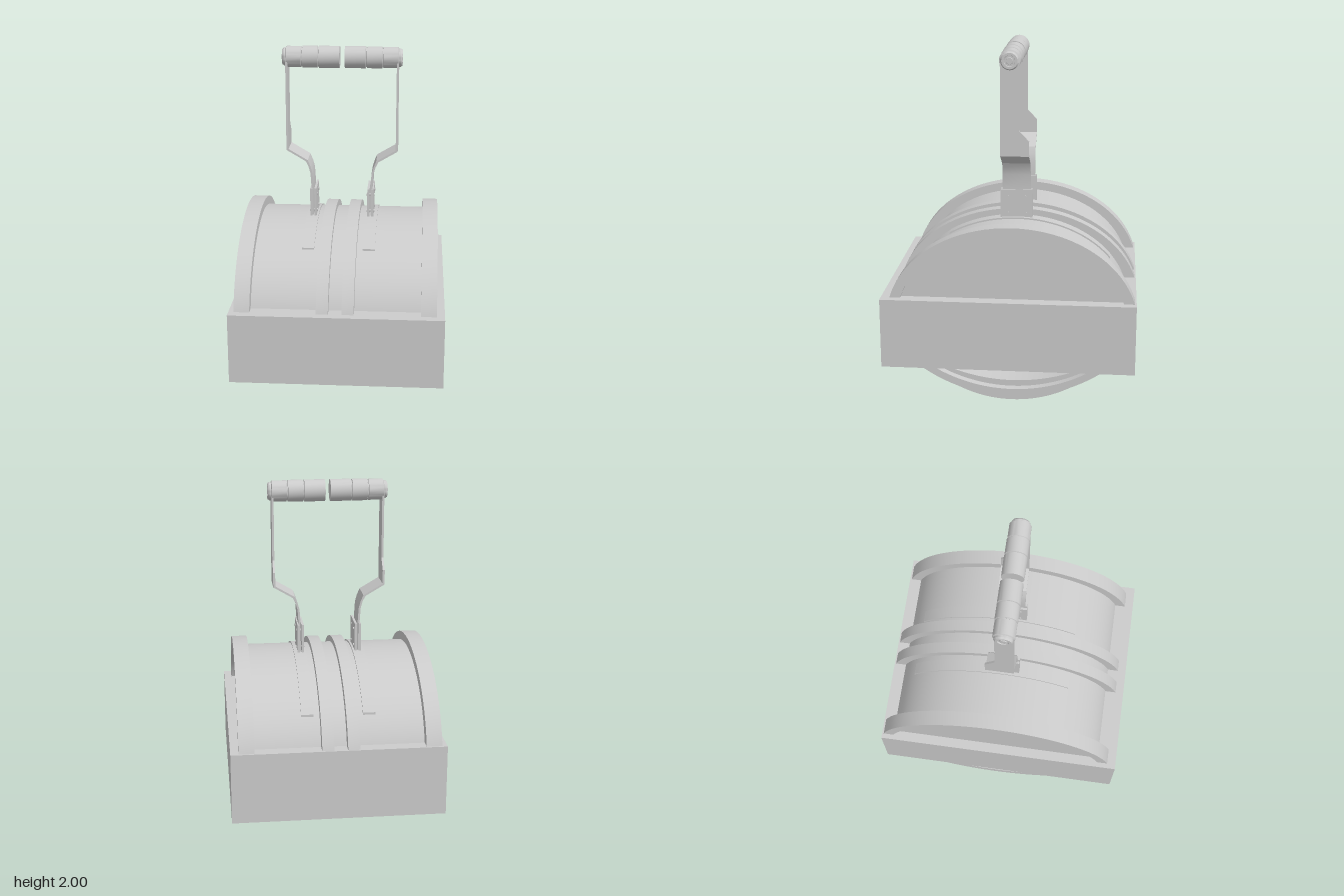
import * as THREE from 'three';
import { toCreasedNormals } from 'three/addons/utils/BufferGeometryUtils.js';

const grey = new THREE.MeshStandardMaterial({ color: 0xcccccc });
const MID_X = -0.008; // centre line of drum and handle
const MID_Z = -0.02; // drum axis

function add(parent, name, geometry, x = 0, y = 0, z = 0) {
  const mesh = new THREE.Mesh(geometry, grey);
  mesh.name = name;
  mesh.position.set(x, y, z);
  parent.add(mesh);
  return mesh;
}

// Points of an elliptic arc from u0 to u1; a negative b hangs below the centre
function arc({ a, b, c }, u0, u1, n = 40) {
  const t0 = Math.acos(u0 / a), t1 = Math.acos(u1 / a);
  return Array.from({ length: n + 1 }, (_, i) => {
    const t = t0 + (t1 - t0) * i / n;
    return new THREE.Vector2(a * Math.cos(t), c + b * Math.sin(t));
  });
}

// Half width of an ellipse at height y
const halfAt = ({ a, b, c }, y) => a * Math.sqrt(1 - ((y - c) / b) ** 2);

// Profile in the side plane, extruded along x (profile x runs towards -z)
function extrudeX(points, x0, x1) {
  const g = new THREE.ExtrudeGeometry(new THREE.Shape(points), { depth: x1 - x0, bevelEnabled: false });
  g.rotateY(Math.PI / 2).translate(x0, 0, 0);
  return toCreasedNormals(g, 0.5);
}

function solid(e, y) {
  const h = halfAt(e, y);
  return arc(e, h, -h);
}

function band(outer, inner, y) {
  return [...solid(outer, y), ...solid(inner, y).reverse()];
}

const circleUp = (bottom, r) => ({ a: r, b: -r, c: bottom + r });

export function createModel() {
  const model = new THREE.Group();

  // Rectangular body
  add(model, 'body', new THREE.BoxGeometry(1.2, 0.405, 1.44), 0, 0.4225, 0);

  // Upper drum with end flanges and centre ribs
  const drum = new THREE.Group();
  drum.name = 'upperDrum';
  drum.position.set(MID_X, 0, MID_Z);
  model.add(drum);
  const barrel = { a: 0.65, b: 0.5, c: 0.5 };
  const flange = { a: 0.709, b: 0.55, c: 0.5 };
  const rib = { a: 0.712, b: 0.535, c: 0.5 };
  add(drum, 'barrel', extrudeX(solid(barrel, 0.6), -0.535, 0.535));
  for (const s of [-1, 1]) {
    const span = (p, q) => (s > 0 ? [p, q] : [-q, -p]);
    add(drum, 'endFlange', extrudeX(band(flange, barrel, 0.6), ...span(0.475, 0.563)));
    add(drum, 'centreRib', extrudeX(band(rib, barrel, 0.6), ...span(0.038, 0.105)));
    // Flat strip lying on the barrel under each bracket
    const top = { a: 0.658, b: 0.509, c: 0.5 };
    const strip = [...arc(top, 0.545, -0.395), ...arc(barrel, 0.545, -0.395).reverse()];
    add(drum, 'mountingStrip', extrudeX(strip, ...span(0.138, 0.208)));
  }

  // Open lower trough
  const trough = new THREE.Group();
  trough.name = 'lowerTrough';
  trough.position.set(MID_X, 0, MID_Z);
  model.add(trough);
  add(trough, 'troughShell', extrudeX(band(circleUp(0.005, 0.7), circleUp(0.125, 1.0), 0.24), -0.52, 0.52));
  for (const s of [-1, 1]) {
    const x = s > 0 ? 0.475 : -0.565;
    add(trough, 'troughFlange', extrudeX(band(circleUp(0.045, 0.89), circleUp(0.09, 0.88), 0.24), x, x + 0.09));
  }

  // Handle, one side at a time
  for (const s of [1, -1]) {
    const side = new THREE.Group();
    side.name = s > 0 ? 'leftHandle' : 'rightHandle';
    side.position.x = MID_X;
    model.add(side);

    // Bracket: two plates around the strap, with rivets
    for (const x of [0.156, 0.18]) {
      add(side, 'bracketPlate', new THREE.BoxGeometry(0.013, 0.22, 0.185), s * x, 1.06, -0.0175);
    }
    for (const [y, z] of [[1.13, -0.07], [1.13, 0.035], [1.03, -0.07], [1.03, 0.035]]) {
      const rivet = add(side, 'rivet', new THREE.CylinderGeometry(0.008, 0.008, 0.046, 12), s * 0.168, y, z);
      rivet.rotation.z = Math.PI / 2;
    }

    // Bent lower strap
    const path = [[0.168, 0.98], [0.167, 1.17], [0.173, 1.26], [0.184, 1.3], [0.2, 1.338], [0.312, 1.404]];
    const inner = path.map(([x, y]) => new THREE.Vector2(s * x, y));
    const outer = path.map(([x, y], i) => new THREE.Vector2(s * (x + 0.012), y - (i > 3 ? 0.006 : 0)));
    const bent = new THREE.ExtrudeGeometry(new THREE.Shape([...inner, ...outer.reverse()]),
      { depth: 0.163, bevelEnabled: false });
    add(side, 'lowerStrap', toCreasedNormals(bent, 0.4), 0, 0, -0.1);

    // Upright strap, narrowed at the back above a shoulder
    const plate = [[-0.063, 1.398], [0.1, 1.398], [0.1, 1.485], [0.043, 1.545], [0.043, 1.94], [-0.063, 1.94]]
      .map(([u, y]) => new THREE.Vector2(u, y));
    add(side, 'upperStrap', extrudeX(plate, s > 0 ? 0.312 : -0.324, s > 0 ? 0.324 : -0.312));

    // Grip: turned profile with grooves and a stepped end cap
    const grip = [
      [0, 0.015], [0.062, 0.015], [0.063, 0.134], [0.056, 0.136], [0.056, 0.14], [0.062, 0.142],
      [0.062, 0.228], [0.056, 0.23], [0.056, 0.234], [0.06, 0.236], [0.06, 0.32], [0.052, 0.324],
      [0.052, 0.334], [0.045, 0.344], [0.032, 0.344], [0.03, 0.337], [0.02, 0.337], [0.018, 0.344], [0, 0.344],
    ].map(([r, h]) => new THREE.Vector2(r, h));
    const turned = toCreasedNormals(new THREE.LatheGeometry(grip, 36), 0.5);
    const mesh = add(side, 'grip', turned, 0, 1.938, 0.008);
    mesh.rotation.z = -s * Math.PI / 2;
  }

  return model;
}
